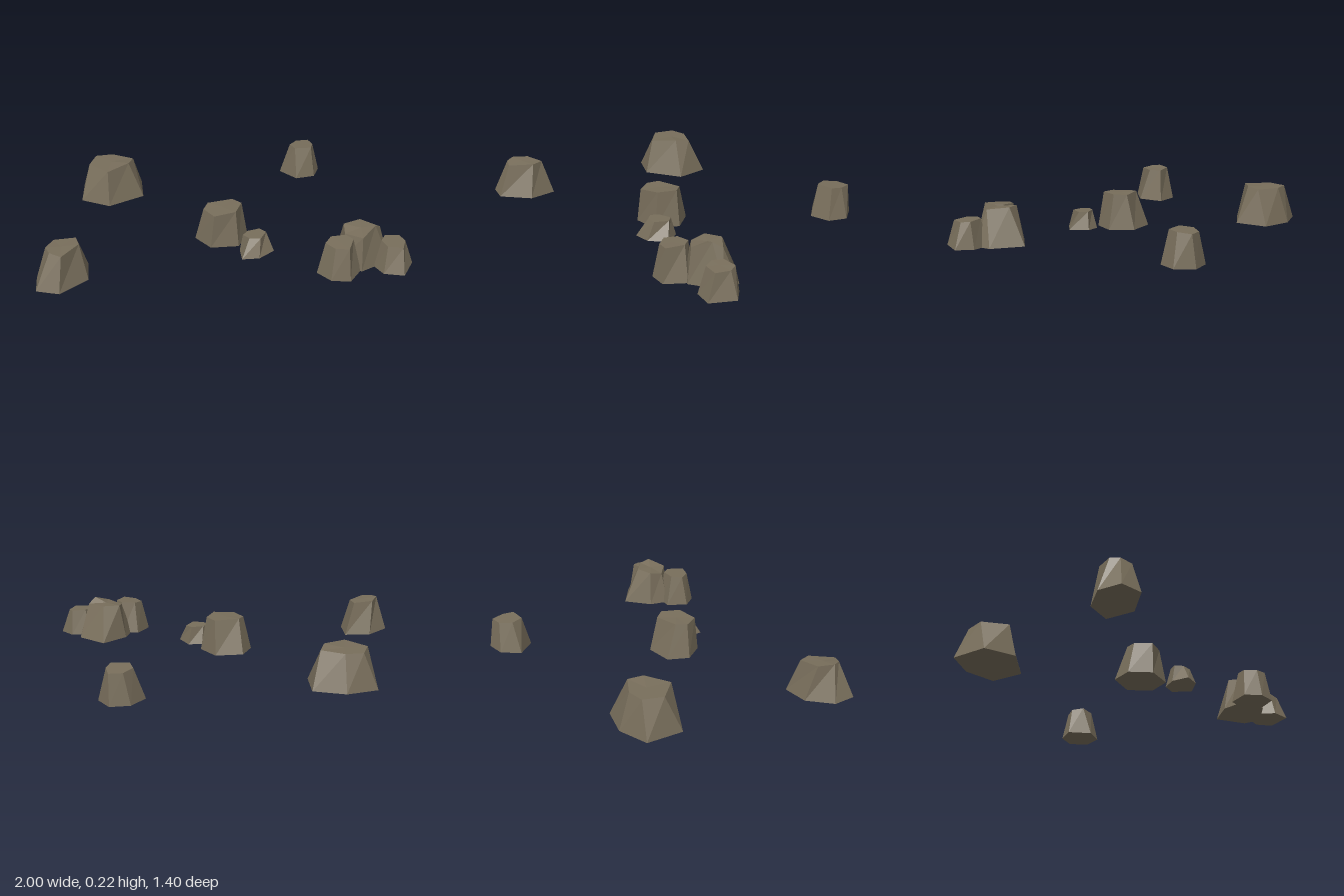
import * as THREE from 'three';

const stone = new THREE.MeshStandardMaterial({ color: 0x786e5b });
stone.name = 'stone';

// Faceted boulder: a base ring of [x, z] on the ground, a chipped top ring of [x, y, z],
// joined by sloping sides and closed by fans. Rings run clockwise seen from above.
function makeRock(name, baseRing, topRing) {
  const base = baseRing.map(([x, z]) => new THREE.Vector3(x, 0, z));
  const top = topRing.map(([x, y, z]) => new THREE.Vector3(x, y, z));
  const centre = (ring) =>
    ring.reduce((sum, p) => sum.add(p), new THREE.Vector3()).divideScalar(ring.length);
  const baseMid = centre(base), topMid = centre(top);
  const points = [];
  for (let i = 0; i < base.length; i++) {
    const j = (i + 1) % base.length;
    points.push(base[j], base[i], top[i], base[j], top[i], top[j]);
    points.push(topMid, top[j], top[i], baseMid, base[i], base[j]);
  }
  const geometry = new THREE.BufferGeometry().setFromPoints(points);
  geometry.computeVertexNormals(); // unshared corners give flat facets
  const mesh = new THREE.Mesh(geometry, stone);
  mesh.name = name;
  return mesh;
}

export function createModel() {
  const group = new THREE.Group();
  group.name = 'scatteredRocks';

  // Lone rocks
  group.add(makeRock('largeBackRock',
    [[-0.575, -0.605], [-0.4, -0.55], [-0.4, -0.36], [-0.605, -0.255], [-0.765, -0.345], [-0.75, -0.555]],
    [[-0.57, 0.2, -0.54], [-0.45, 0.2, -0.47], [-0.48, 0.21, -0.39], [-0.605, 0.2, -0.305], [-0.71, 0.2, -0.42], [-0.67, 0.2, -0.53]]));
  group.add(makeRock('smallBackRock',
    [[0.545, -0.69], [0.655, -0.7], [0.715, -0.605], [0.67, -0.505], [0.555, -0.485], [0.47, -0.595]],
    [[0.58, 0.17, -0.67], [0.655, 0.17, -0.675], [0.67, 0.175, -0.6], [0.65, 0.18, -0.54], [0.55, 0.18, -0.54], [0.53, 0.175, -0.61]]));
  group.add(makeRock('sideRock',
    [[-0.88, 0.37], [-0.73, 0.37], [-0.73, 0.53], [-0.88, 0.65], [-1, 0.61], [-1, 0.48]],
    [[-0.9, 0.195, 0.43], [-0.785, 0.19, 0.41], [-0.77, 0.19, 0.48], [-0.86, 0.185, 0.59], [-0.92, 0.195, 0.56], [-0.94, 0.2, 0.51]]));

  // Middle pair
  group.add(makeRock('middleRock',
    [[-0.08, 0.05], [0.08, 0.04], [0.16, 0.16], [0.095, 0.28], [-0.06, 0.28], [-0.135, 0.165]],
    [[-0.06, 0.195, 0.12], [0.08, 0.195, 0.09], [0.125, 0.2, 0.15], [0.08, 0.2, 0.25], [-0.04, 0.19, 0.27], [-0.09, 0.19, 0.18]]));
  group.add(makeRock('middlePebble',
    [[0.15, 0.25], [0.23, 0.25], [0.28, 0.35], [0.19, 0.42], [0.095, 0.42], [0.095, 0.32]],
    [[0.14, 0.1, 0.29], [0.21, 0.1, 0.27], [0.24, 0.1, 0.31], [0.2, 0.1, 0.38], [0.14, 0.1, 0.37], [0.11, 0.1, 0.33]]));

  // Front cluster
  group.add(makeRock('clusterTallRock',
    [[0.735, 0.3], [0.88, 0.42], [0.88, 0.52], [0.71, 0.61], [0.575, 0.52], [0.605, 0.41]],
    [[0.735, 0.2, 0.4], [0.825, 0.195, 0.48], [0.79, 0.225, 0.52], [0.71, 0.19, 0.585], [0.63, 0.18, 0.51], [0.64, 0.195, 0.43]]));
  group.add(makeRock('clusterInnerRock',
    [[0.535, 0.49], [0.63, 0.5], [0.705, 0.6], [0.63, 0.7], [0.53, 0.68], [0.47, 0.595]],
    [[0.55, 0.18, 0.53], [0.63, 0.185, 0.53], [0.66, 0.185, 0.58], [0.62, 0.18, 0.67], [0.55, 0.175, 0.65], [0.51, 0.175, 0.585]]));
  group.add(makeRock('clusterOuterRock',
    [[0.83, 0.47], [0.935, 0.475], [1, 0.55], [0.925, 0.675], [0.82, 0.645], [0.785, 0.565]],
    [[0.85, 0.15, 0.5], [0.93, 0.145, 0.5], [0.95, 0.14, 0.55], [0.92, 0.14, 0.625], [0.84, 0.145, 0.61], [0.82, 0.15, 0.55]]));

  return group;
}
